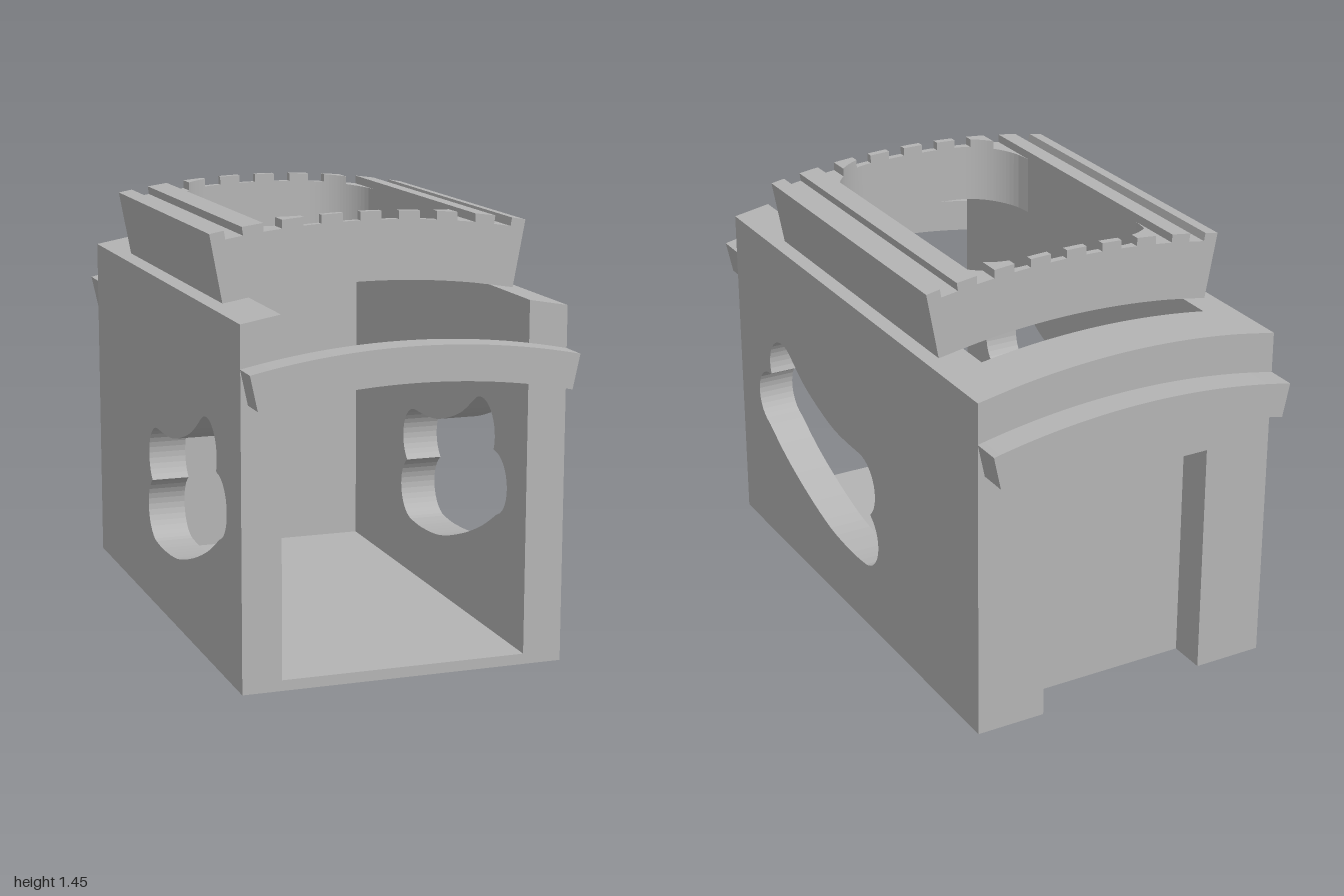
import * as THREE from 'three';

// All arches share one centre, far below the model.
const CY = -1.47;
const R_BODY = 2.695, R_GROOVE = 2.892, R_TOOTH = 2.92;
const PITCH = 0.0452, HALF_TOOTH = 0.0124, END = 0.185;
const arcY = (r, x) => Math.sqrt(r * r - x * x) + CY;
const polar = (r, a) => new THREE.Vector2(r * Math.sin(a), r * Math.cos(a) + CY);

export function createModel() {
  const group = new THREE.Group();
  const stone = new THREE.MeshStandardMaterial({ color: 0xb4b4b4 });
  stone.name = 'grey stone';

  const add = (name, geometry) => {
    const mesh = new THREE.Mesh(geometry, stone);
    mesh.name = name;
    group.add(mesh);
    return mesh;
  };
  const extrude = (shape, depth, curveSegments = 16) =>
    new THREE.ExtrudeGeometry(shape, { depth, bevelEnabled: false, curveSegments });
  // Moves vertices vertically by a rule, then restores the flat normals.
  const reshapeY = (geometry, rule) => {
    const p = geometry.attributes.position;
    for (let i = 0; i < p.count; i++) p.setY(i, rule(p.getX(i), p.getY(i)));
    geometry.computeVertexNormals();
    return geometry;
  };

  // Lobed window, drawn in (z, y)
  const windowPath = () => {
    const pts = [];
    const arc = (cx, cy, r, from, to) => {
      for (let i = 0; i <= 14; i++) {
        const a = THREE.MathUtils.degToRad(from + (to - from) * i / 14);
        pts.push(new THREE.Vector2(cx + r * Math.cos(a), cy + r * Math.sin(a)));
      }
    };
    const sweep = (...p) => pts.push(...new THREE.SplineCurve(
      p.map(([x, y]) => new THREE.Vector2(x, y))).getPoints(20).slice(1, -1));
    // z grows along the first axis
    arc(0.53, 0.7, 0.11, -22, 125);
    pts.length = 0;
    arc(0.53, 0.697, 0.112, 338 - 360, 120);
    sweep([0.474, 0.794], [0.36, 0.725], [0.24, 0.68], [0.12, 0.65], [0, 0.642]);
    arc(-0.075, 0.53, 0.113, 90, 228);
    arc(-0.092, 0.345, 0.113, 120, 262);
    sweep([-0.108, 0.233], [0, 0.228], [0.17, 0.243], [0.36, 0.297], [0.54, 0.37], [0.69, 0.455]);
    arc(0.64, 0.545, 0.107, -60, 88);
    return new THREE.Path(pts);
  };

  // Side walls with windows; their tops follow the arch
  for (const [name, outer] of [['leftWall', 0.54], ['rightWall', -0.41]]) {
    const shape = new THREE.Shape([
      new THREE.Vector2(-0.9, 0), new THREE.Vector2(0.9, 0),
      new THREE.Vector2(0.9, 1.2), new THREE.Vector2(-0.9, 1.2),
    ]);
    shape.holes.push(windowPath());
    const geometry = extrude(shape, 0.13).rotateY(-Math.PI / 2).translate(outer, 0, 0);
    add(name, reshapeY(geometry, (x, y) => (y > 1.1 ? arcY(R_BODY, x) : y)));
  }

  // Floor
  add('floor', new THREE.BoxGeometry(0.82, 0.035, 1.59).translate(0, 0.0175, 0.105));

  // Back wall: a full inner layer and an outer layer with the door recess
  const wallShape = (door) => {
    const pts = [[0.41, 0]];
    for (let i = 0; i <= 20; i++) {
      const x = 0.41 - 0.041 * i;
      pts.push([x, arcY(R_BODY, x)]);
    }
    pts.push([-0.41, 0]);
    if (door) pts.push([-0.3, 0], [-0.3, 0.81], [0.3, 0.81], [0.3, 0]);
    return new THREE.Shape(pts.map(([x, y]) => new THREE.Vector2(x, y)));
  };
  add('backWall', extrude(wallShape(false), 0.08).translate(0, 0, -0.77));
  add('backDoorFrame', extrude(wallShape(true), 0.13).translate(0, 0, -0.9));

  // Curved bands across the front and the back
  const band = new THREE.Shape();
  const a = 0.2128;
  band.absarc(0, CY, 2.56, Math.PI / 2 - a, Math.PI / 2 + a, false);
  band.absarc(0, CY, 2.445, Math.PI / 2 + a, Math.PI / 2 - a, true);
  add('frontBand', extrude(band, 0.1, 24).translate(0, 0, 0.9));
  add('backBand', extrude(band, 0.1, 24).translate(0, 0, -1));

  // Ribbed roof, long side beams
  const HX = 0.36, HZ = 0.545, HR = 0.19, LEN = 0.57;
  const t3 = 3 * PITCH + HALF_TOOTH, t4 = 4 * PITCH - HALF_TOOTH;
  for (const [name, s] of [['leftRoofBeam', 1], ['rightRoofBeam', -1]]) {
    const pts = [
      new THREE.Vector2(HX, arcY(R_BODY, HX)), polar(R_BODY, END),
      polar(R_TOOTH, END), polar(R_TOOTH, t4), polar(R_GROOVE, t4),
      polar(R_GROOVE, t3), polar(R_TOOTH, t3), new THREE.Vector2(HX, arcY(R_TOOTH, HX)),
    ];
    pts.forEach((p) => { p.x *= s; });
    add(name, extrude(new THREE.Shape(pts), 2 * LEN).translate(0, 0, -LEN));
  }

  // Ribbed roof, end pieces: one column per tooth or groove, cut by the rounded opening
  const openingZ = (x) => {
    const d = Math.max(0, Math.abs(x) - (HX - HR));
    return HZ - HR + Math.sqrt(Math.max(0, HR * HR - d * d));
  };
  const edges = [-HX];
  for (let k = -2; k <= 2; k++) {
    edges.push(2.9 * Math.sin(k * PITCH - HALF_TOOTH), 2.9 * Math.sin(k * PITCH + HALF_TOOTH));
  }
  edges.push(HX);
  for (const [name, s] of [['frontRoofRib', -1], ['backRoofRib', 1]]) {
    for (let c = 0; c < edges.length - 1; c++) {
      const outer = [], inner = [];
      for (let i = 0; i <= 8; i++) {
        const x = THREE.MathUtils.lerp(edges[c], edges[c + 1], i / 8);
        outer.push(new THREE.Vector2(x, s * LEN));
        inner.unshift(new THREE.Vector2(x, s * openingZ(x)));
      }
      const top = c % 2 ? R_TOOTH : R_GROOVE;
      const geometry = extrude(new THREE.Shape([...outer, ...inner]), 1).rotateX(-Math.PI / 2);
      add(name, reshapeY(geometry, (x, y) => arcY(y > 0.5 ? top : R_BODY, x)));
    }
  }
  return group;
}
